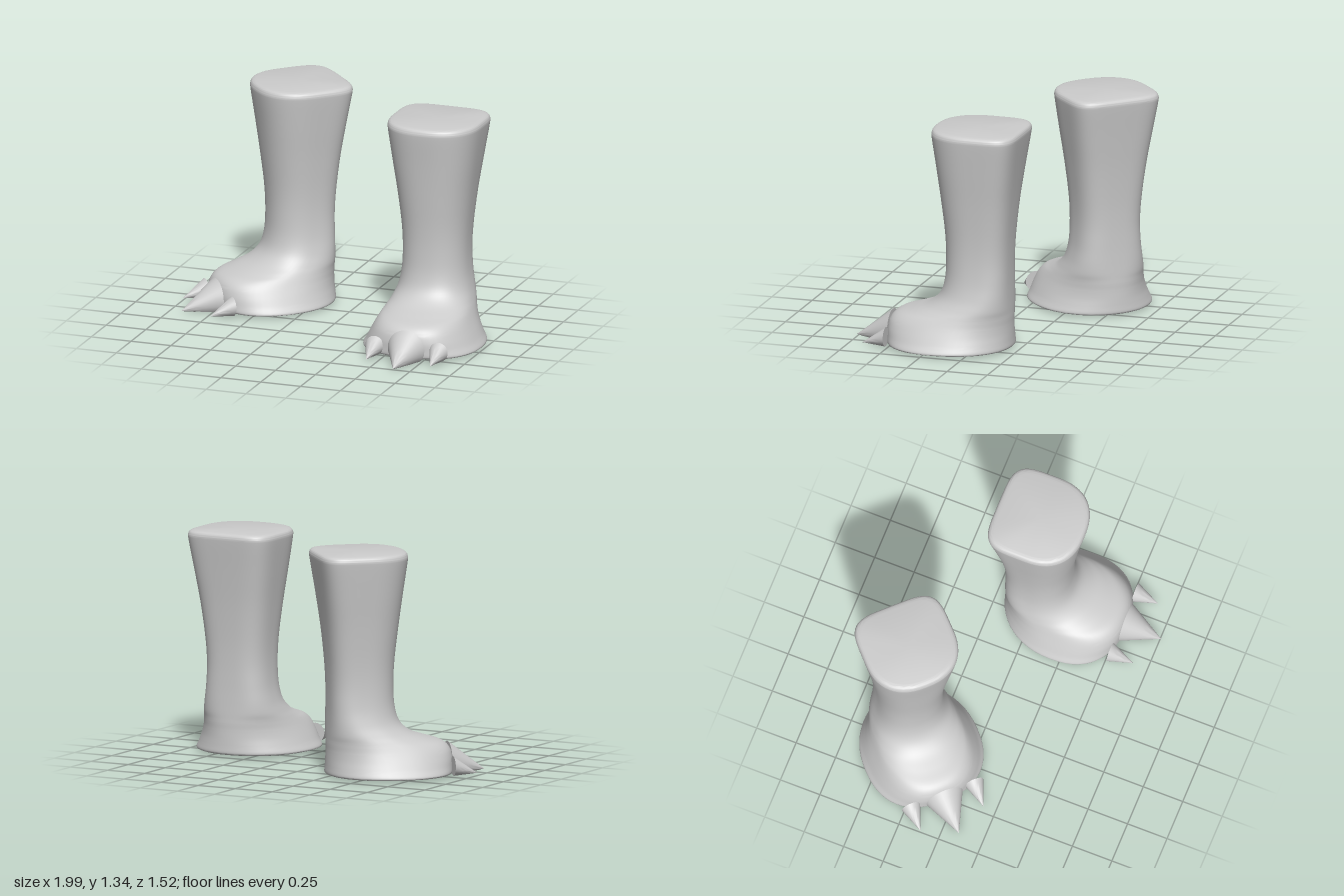
import * as THREE from 'three';
import { toCreasedNormals } from 'three/addons/utils/BufferGeometryUtils.js';

// Leg cross-sections: y, half width, back z, front z, z of widest point, back and front squareness
const SECTIONS = [
  [0.01, 0.335, -0.19, 0.52, 0.19, 2.1, 2.4],
  [0.02, 0.355, -0.205, 0.54, 0.19, 2.1, 2.4],
  [0.06, 0.333, -0.204, 0.545, 0.18, 2.1, 2.4],
  [0.11, 0.308, -0.202, 0.545, 0.17, 2.1, 2.4],
  [0.16, 0.283, -0.2, 0.53, 0.15, 2.2, 2.4],
  [0.197, 0.266, -0.2, 0.49, 0.12, 2.3, 2.3],
  [0.225, 0.254, -0.199, 0.4, 0.09, 2.4, 2.2],
  [0.262, 0.239, -0.198, 0.3, 0.05, 2.6, 2.2],
  [0.325, 0.219, -0.196, 0.23, 0.01, 2.8, 2.2],
  [0.42, 0.202, -0.194, 0.2, 0, 3, 2.2],
  [0.55, 0.196, -0.195, 0.193, 0, 3, 2.2],
  [0.7, 0.203, -0.202, 0.2, 0, 3.2, 2.2],
  [0.9, 0.225, -0.22, 0.222, 0, 3.5, 2.3],
  [1.1, 0.253, -0.245, 0.247, 0, 4, 2.4],
  [1.28, 0.278, -0.27, 0.273, 0, 4.5, 2.4],
  [1.315, 0.279, -0.272, 0.273, 0, 4.5, 2.4],
  [1.333, 0.268, -0.262, 0.262, 0, 4.5, 2.4],
  [1.34, 0.245, -0.24, 0.238, 0, 4.5, 2.4],
];
const SIDES = 56, STEPS = 5;

const material = new THREE.MeshStandardMaterial({ color: 0xcccccc });

// Loft of rounded-square rings, closed with a flat sole and a flat top
function legGeometry() {
  const curve = new THREE.CubicInterpolant(SECTIONS.map((_, i) => i), SECTIONS.flat(), 7);
  const last = (SECTIONS.length - 1) * STEPS;
  const pos = [], index = [];
  for (let r = 0; r <= last; r++) {
    const [y, w, back, front, mid, nBack, nFront] = curve.evaluate(r / STEPS);
    for (let s = 0; s < SIDES; s++) {
      const a = (s / SIDES) * Math.PI * 2;
      const c = Math.cos(a), d = Math.sin(a);
      const n = 2 / (d < 0 ? nBack : nFront);
      const x = w * Math.sign(c) * Math.abs(c) ** n;
      const depth = d < 0 ? mid - back : front - mid;
      pos.push(x, y, mid + depth * Math.sign(d) * Math.abs(d) ** n);
      if (r < last) {
        const p = r * SIDES + s, q = r * SIDES + (s + 1) % SIDES;
        index.push(p, p + SIDES, q, q, p + SIDES, q + SIDES);
      }
    }
  }
  const sole = pos.length / 3, top = sole + 1, topRing = last * SIDES;
  pos.push(0, 0.01, 0.17, 0, 1.34, 0);
  for (let s = 0; s < SIDES; s++) {
    const t = (s + 1) % SIDES;
    index.push(sole, s, t, top, topRing + t, topRing + s);
  }
  const g = new THREE.BufferGeometry();
  g.setAttribute('position', new THREE.Float32BufferAttribute(pos, 3));
  g.setIndex(index);
  return toCreasedNormals(g, 0.7);
}

// Cone lying along z, its tip dropped to the ground and its underside flattened
function clawGeometry(radius, centreY, baseZ, tipY, tipZ) {
  const g = new THREE.ConeGeometry(radius, 1, 28, 6).rotateX(Math.PI / 2);
  const p = g.attributes.position;
  for (let i = 0; i < p.count; i++) {
    const t = p.getZ(i) + 0.5;
    const y = p.getY(i) + THREE.MathUtils.lerp(centreY, tipY, t);
    p.setXYZ(i, p.getX(i), Math.max(0.002, y), THREE.MathUtils.lerp(baseZ, tipZ, t));
  }
  return toCreasedNormals(g, 0.7);
}

export function createModel() {
  const model = new THREE.Group();
  model.name = 'clawedFeet';

  const legGeo = legGeometry();
  const bigClaw = clawGeometry(0.115, 0.068, 0.535, 0.01, 0.757);
  const smallClaw = clawGeometry(0.058, 0.064, 0.515, 0.018, 0.66);

  function addLeg(name, x, z, turn) {
    const leg = new THREE.Group();
    leg.name = name;
    const add = (geo, part, px) => {
      const mesh = new THREE.Mesh(geo, material);
      mesh.name = part;
      mesh.position.x = px;
      leg.add(mesh);
    };
    add(legGeo, 'legAndFoot', 0);
    add(bigClaw, 'middleClaw', 0.007);
    add(smallClaw, 'leftClaw', 0.203);
    add(smallClaw, 'rightClaw', -0.198);
    leg.position.set(x, 0, z);
    leg.rotation.y = turn;
    model.add(leg);
  }

  addLeg('leftLeg', 0.64, 0, 0);
  // The right leg stands further back and is turned outward
  addLeg('rightLeg', -0.385, -0.43, THREE.MathUtils.degToRad(-46));
  return model;
}
